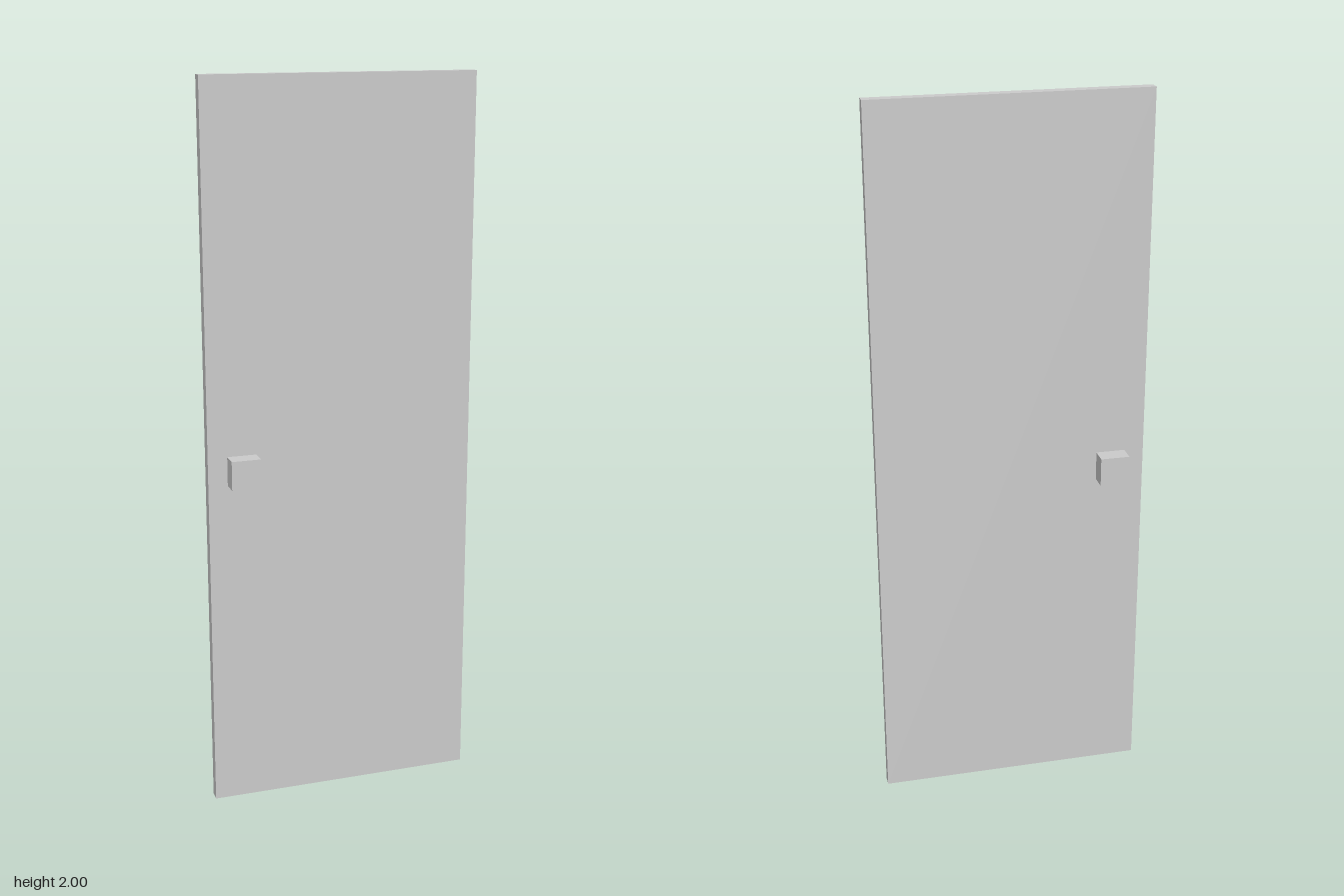
import * as THREE from 'three';

const WIDTH = 0.747, HEIGHT = 2, THICKNESS = 0.03;
const KNOB_SIZE = 0.08, KNOB_DEPTH = 0.048;

export function createModel() {
  const door = new THREE.Group();
  door.name = 'door';
  const material = new THREE.MeshStandardMaterial({ color: 0xcccccc, flatShading: true });

  const addBox = (name, size, position) => {
    const mesh = new THREE.Mesh(new THREE.BoxGeometry(...size), material);
    mesh.name = name;
    mesh.position.set(...position);
    door.add(mesh);
  };

  // Door leaf
  addBox('doorPanel', [WIDTH, HEIGHT, THICKNESS], [0, HEIGHT / 2, 0]);

  // One square knob on each face
  for (const [name, side] of [['frontKnob', 1], ['backKnob', -1]]) {
    addBox(name, [KNOB_SIZE, KNOB_SIZE, KNOB_DEPTH],
      [-0.28, 0.967, side * (THICKNESS + KNOB_DEPTH) / 2]);
  }

  return door;
}
